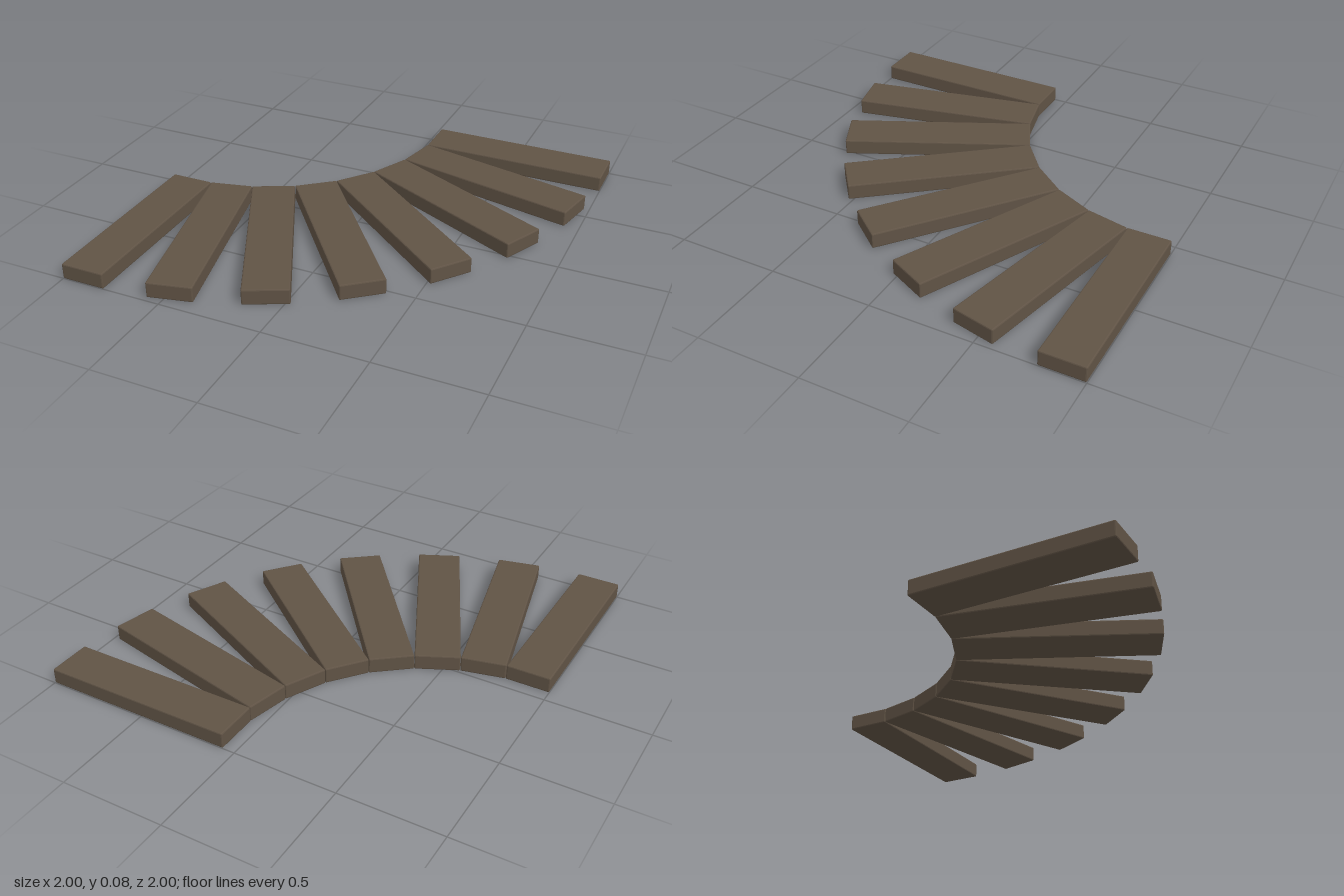
import * as THREE from 'three';
import { RoundedBoxGeometry } from 'three/addons/geometries/RoundedBoxGeometry.js';

const COUNT = 8;
const WIDTH = 0.2145;
const HEIGHT = 0.077;
const LENGTH = 0.94;
const BEVEL = 0.006;

export function createModel() {
  const model = new THREE.Group();
  model.name = 'curvedPlankPath';

  const material = new THREE.MeshStandardMaterial({ color: 0x605345, flatShading: true });

  // One plank with slightly chamfered edges, its inner left corner at the origin
  const plankGeometry = new RoundedBoxGeometry(WIDTH, HEIGHT, LENGTH, 1, BEVEL);
  plankGeometry.translate(WIDTH / 2, HEIGHT / 2, LENGTH / 2);

  // Planks fan through a quarter turn, joined corner to corner along the inner curve
  const corner = new THREE.Vector3(-1, 0, 0.06);
  for (let i = 0; i < COUNT; i++) {
    const angle = (i / (COUNT - 1)) * Math.PI / 2;
    const plank = new THREE.Mesh(plankGeometry, material);
    plank.name = `plank${i + 1}`;
    plank.position.copy(corner);
    plank.rotation.y = angle;
    model.add(plank);
    corner.x += WIDTH * Math.cos(angle);
    corner.z -= WIDTH * Math.sin(angle);
  }

  return model;
}
